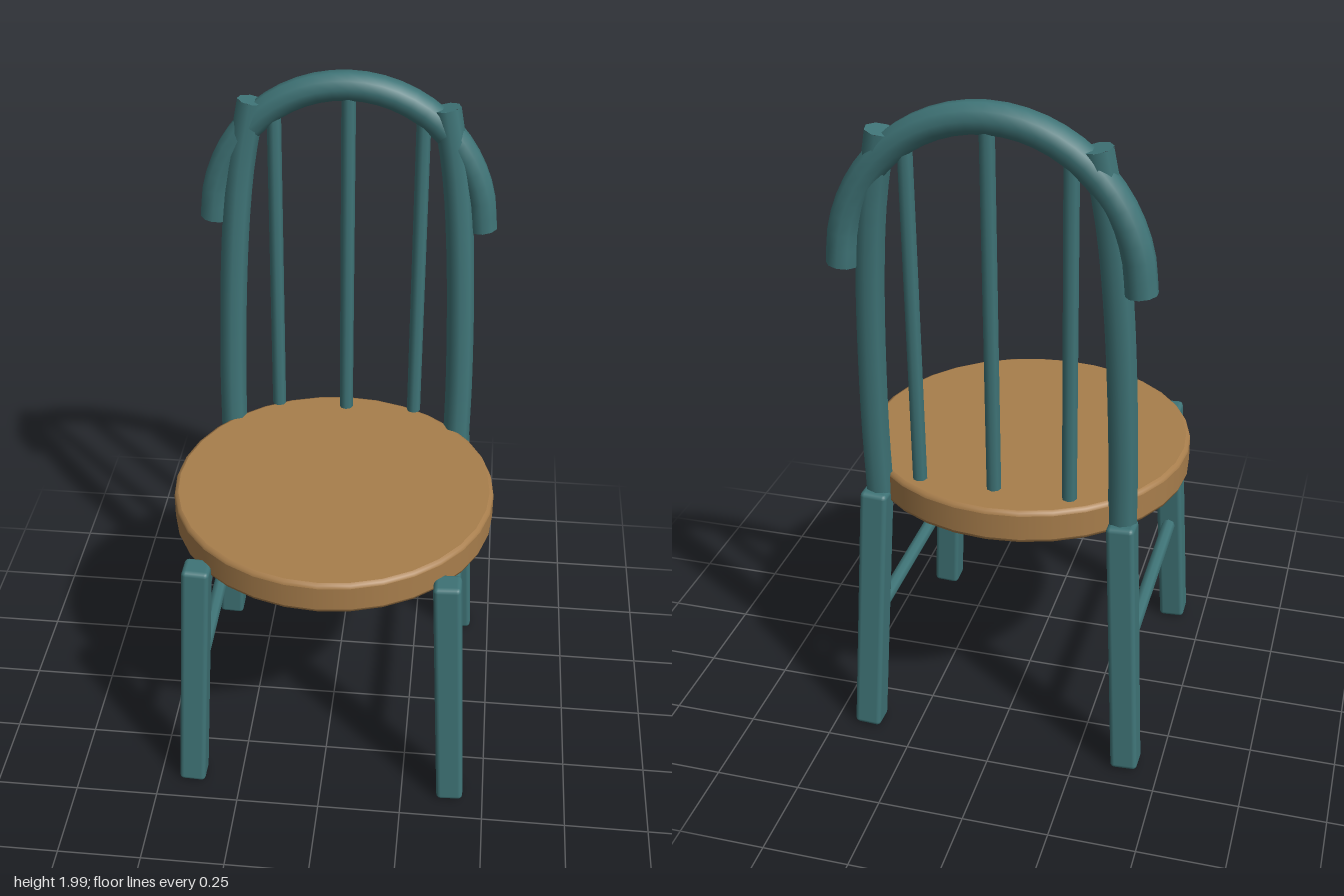
import * as THREE from 'three';
import { RoundedBoxGeometry } from 'three/addons/geometries/RoundedBoxGeometry.js';

const V = (x, y, z) => new THREE.Vector3(x, y, z);
const UP = V(0, 1, 0);

export function createModel() {
  const chair = new THREE.Group();
  chair.name = 'chair';
  const teal = new THREE.MeshStandardMaterial({ color: 0x3f7477 });
  teal.name = 'teal paint';
  const wood = new THREE.MeshStandardMaterial({ color: 0xa87e4c });
  wood.name = 'seat wood';

  const add = (name, geometry, material = teal) => {
    const mesh = new THREE.Mesh(geometry, material);
    mesh.name = name;
    chair.add(mesh);
    return mesh;
  };

  // Aligns a y-long geometry with the line from a to b
  const between = (name, geometry, a, b) => {
    const mesh = add(name, geometry);
    mesh.position.copy(a).add(b).multiplyScalar(0.5);
    mesh.quaternion.setFromUnitVectors(UP, b.clone().sub(a).normalize());
  };
  const rod = (name, a, b, r) =>
    between(name, new THREE.CylinderGeometry(r, r, a.distanceTo(b), 8), a, b);

  // Bent round bar with closed ends
  const bentBar = (name, curve, segments, r, sides) => {
    add(name, new THREE.TubeGeometry(curve, segments, r, sides));
    for (const t of [0, 1]) {
      const cap = add(name + 'End', new THREE.CircleGeometry(r, sides));
      const out = curve.getTangentAt(t).multiplyScalar(t ? 1 : -1);
      cap.position.copy(curve.getPointAt(t));
      cap.quaternion.setFromUnitVectors(V(0, 0, 1), out);
    }
  };

  // Round seat with softened rims
  const R = 0.478;
  const profile = [[0, 0.77], [R - 0.012, 0.77], [R - 0.012, 0.77], [R - 0.003, 0.774], [R, 0.783],
    [R, 0.783], [R, 0.857], [R, 0.857], [R - 0.003, 0.866], [R - 0.012, 0.87], [R - 0.012, 0.87], [0, 0.87]]
    .map(([x, y]) => new THREE.Vector2(x, y));
  add('seat', new THREE.LatheGeometry(profile, 32), wood);

  for (const s of [-1, 1]) {
    const side = s > 0 ? 'left' : 'right';

    // Splayed square legs
    for (const f of [-1, 1]) {
      between(side + (f > 0 ? 'FrontLeg' : 'BackLeg'),
        new RoundedBoxGeometry(0.08, 0.805, 0.08, 2, 0.014),
        V(s * 0.399, 0.01, f * 0.399), V(s * 0.358, 0.81, f * 0.358));
    }

    // Side stretcher
    rod(side + 'Stretcher', V(s * 0.378, 0.38, -0.375), V(s * 0.378, 0.38, 0.375), 0.021);

    // Curved back post
    bentBar(side + 'BackPost', new THREE.CatmullRomCurve3([
      V(s * 0.355, 0.8, -0.34), V(s * 0.354, 1.05, -0.357),
      V(s * 0.338, 1.45, -0.383), V(s * 0.315, 1.7, -0.4), V(s * 0.279, 1.902, -0.412),
    ]), 16, 0.041, 8);
  }

  // Bowed top rail
  const bow = [];
  for (let i = 0; i <= 12; i++) {
    const a = Math.PI * (1 - i / 12);
    bow.push(V(0.4 * Math.cos(a), 1.53 + 0.427 * Math.sin(a), -0.414));
  }
  bentBar('topRail', new THREE.CatmullRomCurve3(bow), 28, 0.043, 10);

  // Back spindles
  for (const x of [-0.215, 0, 0.215]) {
    rod('spindle', V(x, 0.89, -0.39), V(x, x ? 1.88 : 1.94, -0.414), 0.021);
  }
  return chair;
}
